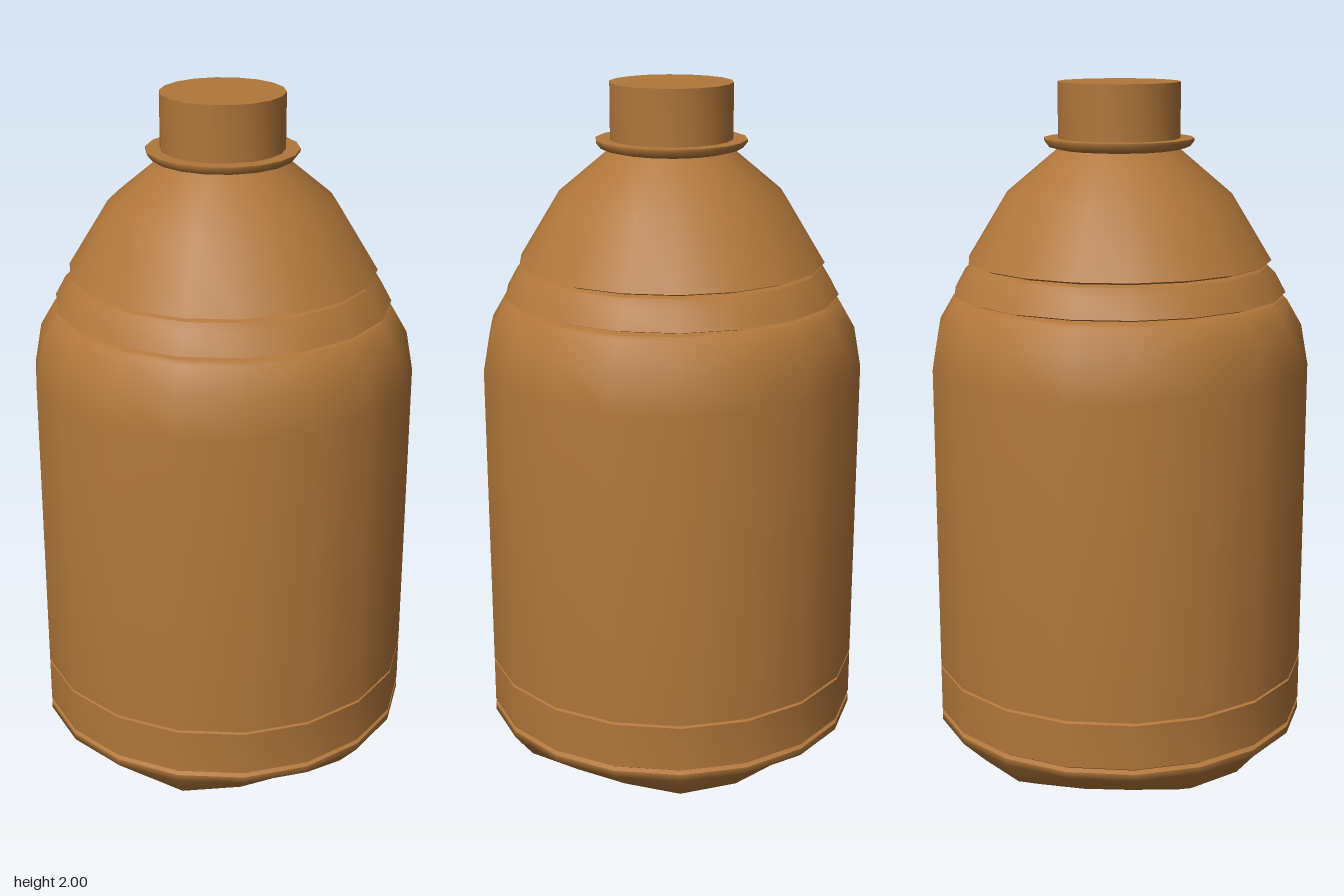
import * as THREE from 'three';
import { mergeVertices, toCreasedNormals } from 'three/addons/utils/BufferGeometryUtils.js';

const SIDES = 18;
const CREASE = 0.9;

export function createModel() {
  const group = new THREE.Group();
  const material = new THREE.MeshStandardMaterial({ color: 0xb0763a, side: THREE.DoubleSide });

  // Turned part from [radius, height] pairs, listed from bottom to top
  function turned(name, profile) {
    const points = profile.map(([r, y]) => new THREE.Vector2(r, y));
    const geometry = new THREE.LatheGeometry(points, SIDES);
    const mesh = new THREE.Mesh(toCreasedNormals(geometry, CREASE), material);
    mesh.name = name;
    group.add(mesh);
    return mesh;
  }

  // Base: five soft lobes that fade out towards the wall
  const base = turned('base', [
    [0, 0.015], [0.15, 0.008], [0.275, 0], [0.39, 0.022], [0.47, 0.065], [0.545, 0.135], [0.545, 0.155],
  ]);
  const pos = base.geometry.attributes.position;
  for (let i = 0; i < pos.count; i++) {
    const x = pos.getX(i), y = pos.getY(i), z = pos.getZ(i);
    if (y > 0.1) continue;
    const scale = 1 + 0.055 * Math.cos(5 * Math.atan2(x, z));
    pos.setXYZ(i, x * scale, y, z * scale);
  }
  base.geometry.deleteAttribute('normal');
  base.geometry.deleteAttribute('uv');
  base.geometry = mergeVertices(base.geometry);
  base.geometry.computeVertexNormals();

  // Narrow grooves between the bands
  turned('lowerGroove', [[0.545, 0.155], [0.532, 0.162], [0.545, 0.17]]);
  turned('lowerBand', [[0.545, 0.17], [0.545, 0.3]]);
  turned('labelGroove', [[0.545, 0.3], [0.535, 0.304], [0.545, 0.308]]);

  // Main wall and its rounded shoulder
  turned('body', [[0.545, 0.308], [0.545, 1.205], [0.524, 1.32], [0.482, 1.392], [0.47, 1.4]]);
  turned('shoulderGroove', [[0.47, 1.4], [0.455, 1.406], [0.477, 1.413]]);
  turned('shoulderBand', [[0.477, 1.413], [0.447, 1.468], [0.425, 1.49]]);
  turned('domeGroove', [[0.425, 1.49], [0.412, 1.496], [0.435, 1.504]]);
  turned('dome', [[0.435, 1.504], [0.32, 1.692], [0.173, 1.815]]);

  // Neck ring and closed neck
  turned('neckRing', [[0.173, 1.815], [0.2, 1.822], [0.213, 1.838], [0.213, 1.845], [0.173, 1.845]]);
  turned('neck', [[0.173, 1.81], [0.173, 2], [0, 2]]);

  return group;
}
